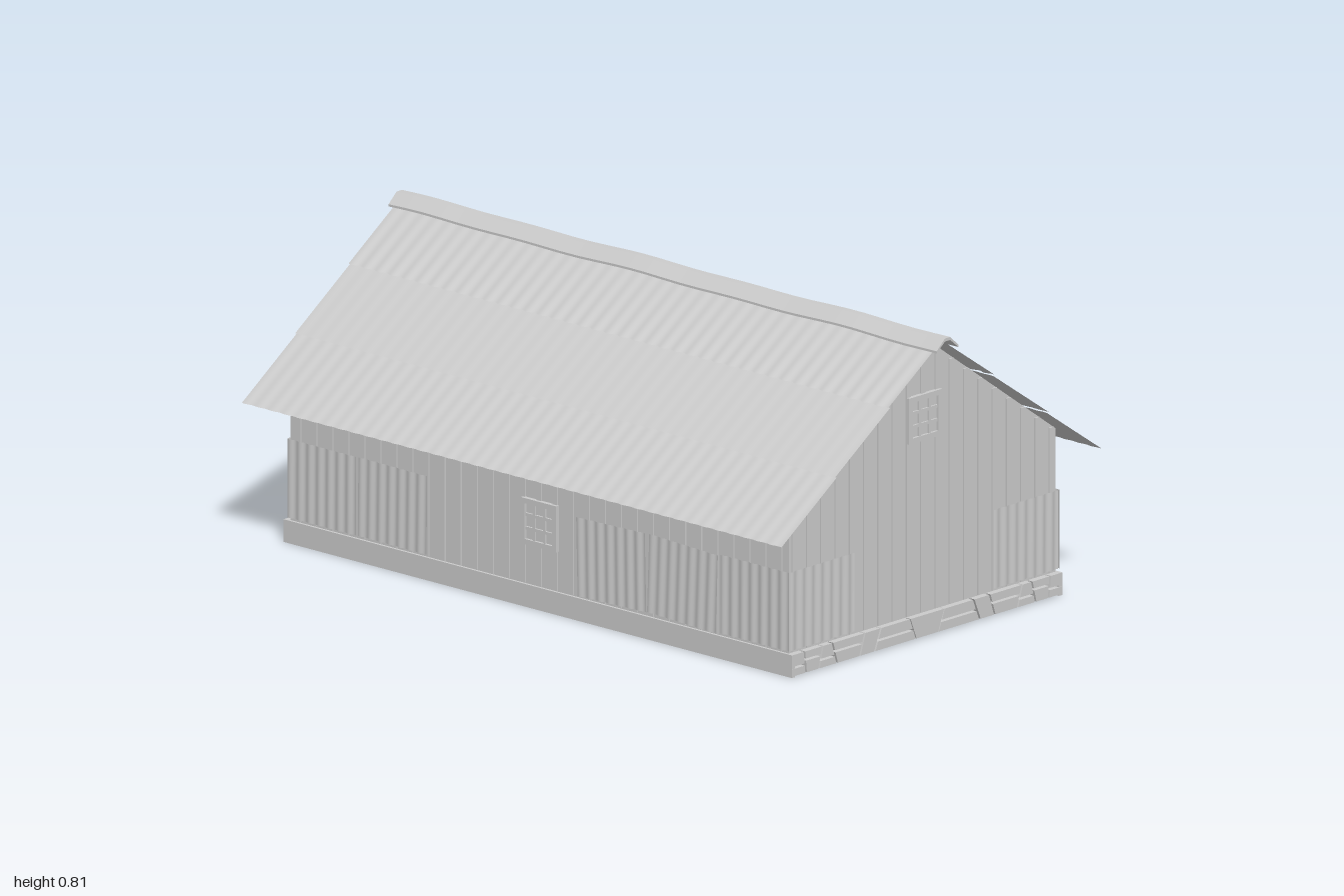
import * as THREE from 'three';

const mat = new THREE.MeshStandardMaterial({ color: 0xcccccc, side: THREE.DoubleSide });

const HALF = 0.495;            // half width of the walls
const FRONT = 0.912, BACK = -0.815, MID = (FRONT + BACK) / 2, LEN = FRONT - BACK;
const SLOPE = 0.711;           // rise of the roof per unit of width
const roofY = (x) => 0.791 - SLOPE * Math.abs(x);
const lerp = THREE.MathUtils.lerp;

function add(parent, name, geometry, x = 0, y = 0, z = 0) {
  const m = new THREE.Mesh(geometry, mat);
  m.name = name;
  m.position.set(x, y, z);
  parent.add(m);
  return m;
}

const box = (parent, name, w, h, d, x, y, z) =>
  add(parent, name, new THREE.BoxGeometry(w, h, d), x, y, z);

function group(parent, name, x, y, z, ry = 0) {
  const g = new THREE.Group();
  g.name = name;
  g.position.set(x, y, z);
  g.rotation.y = ry;
  parent.add(g);
  return g;
}

// Corrugated sheet: place(u, v, wave) turns sheet coordinates (0 to 1) into a point
function corrugated(waves, place) {
  const g = new THREE.PlaneGeometry(1, 1, waves * 8, 1);
  const p = g.attributes.position;
  for (let i = 0; i < p.count; i++) {
    const u = p.getX(i) + 0.5, v = p.getY(i) + 0.5;
    p.setXYZ(i, ...place(u, v, Math.sin(u * waves * Math.PI * 2)));
  }
  g.computeVertexNormals();
  return g;
}

function polygon(points, depth, hole) {
  const s = new THREE.Shape(points.map(([x, y]) => new THREE.Vector2(x, y)));
  if (hole) s.holes.push(new THREE.Path(hole.map(([x, y]) => new THREE.Vector2(x, y))));
  return new THREE.ExtrudeGeometry(s, { depth, bevelEnabled: false });
}

// Small barred window facing +z
function addWindow(parent, x, y) {
  const g = group(parent, 'window', x, y, 0);
  box(g, 'windowPane', 0.114, 0.114, 0.005, 0, 0, 0.0025);
  for (const s of [-1, 1]) {
    box(g, 'windowFrameSide', 0.014, 0.122, 0.012, s * 0.054, 0, 0.006);
    box(g, 'windowFrameRail', 0.122, 0.014, 0.012, 0, s * 0.054, 0.006);
    box(g, 'windowBarVertical', 0.008, 0.1, 0.01, s * 0.018, 0, 0.005);
    box(g, 'windowBarHorizontal', 0.1, 0.008, 0.01, 0, s * 0.018, 0.005);
  }
}

function addPanel(parent, x, tilt = 0) {
  const sheet = corrugated(7, (u, v, wave) => [(u - 0.5) * 0.238, (v - 0.5) * 0.208, wave * 0.002]);
  add(parent, 'corrugatedPanel', sheet, x, 0.172, 0.007).rotation.z = tilt;
}

function addBatten(parent, x, y0, y1) {
  box(parent, 'batten', 0.016, y1 - y0, 0.004, x, (y0 + y1) / 2, 0.002);
}

// Slanted joints of half a foundation end (bottom x, top x), and the height of
// the level joint in each cell between them (0 for a single stone)
const JOINTS = [[0.04, 0.062], [0.195, 0.172], [0.25, 0.232], [0.335, 0.352], [0.402, 0.388], [0.45, 0.456], [0.503, 0.503]];
const LEVELS = [0.03, 0, 0.036, 0.025, 0.038, 0.026];

function addStones(parent) {
  const y0 = 0.004, y1 = 0.06, gap = 0.003, depth = 0.018;
  const jointX = ([b, t], y) => lerp(b, t, (y - y0) / (y1 - y0));
  const c = JOINTS[0];
  add(parent, 'foundationStone', polygon([[-c[0], y0], [c[0], y0], [c[1], y1], [-c[1], y1]], depth));
  LEVELS.forEach((level, i) => {
    const rows = level ? [[y0, level - gap], [level + gap, y1]] : [[y0, y1]];
    for (const [a, b] of rows) {
      const l = JOINTS[i], r = JOINTS[i + 1];
      for (const s of [-1, 1]) {
        add(parent, 'foundationStone', polygon([
          [s * (jointX(l, a) + gap), a], [s * (jointX(r, a) - gap), a],
          [s * (jointX(r, b) - gap), b], [s * (jointX(l, b) + gap), b]], depth));
      }
    }
  });
}

// Gable end, local +z facing outward
function addGable(root, name, z, ry, hasDoor) {
  const g = group(root, name, 0, 0, z, ry);
  const outline = [[-HALF, 0.05], [HALF, 0.05], [HALF, roofY(HALF)], [0, roofY(0)], [-HALF, roofY(HALF)]];
  const hole = hasDoor && [[-0.245, 0.068], [0.245, 0.068], [0.245, 0.38], [-0.245, 0.38]];
  add(g, 'gableWall', polygon(outline, 0.01, hole), 0, 0, -0.01);
  for (let i = -9; i <= 9; i++) {
    const x = i * 0.053;
    addBatten(g, x, hasDoor && Math.abs(x) < 0.255 ? 0.4 : 0.062, roofY(Math.abs(x) + 0.008));
  }
  addWindow(g, 0, 0.58);
  for (const s of [-1, 1]) addPanel(g, s * 0.378);
  addStones(g);
  return g;
}

// Framed door leaf, hinged at local x = 0, planked below and panelled above
function addLeaf(parent, x, z, ry) {
  const W = 0.235, H = 0.3;
  const g = group(parent, 'doorLeaf', x, 0.07, z, ry);
  box(g, 'doorBacking', W - 0.01, H - 0.01, 0.004, W / 2, H / 2, 0);
  for (const px of [0.01, W - 0.01]) box(g, 'doorStile', 0.02, H, 0.016, px, H / 2, 0);
  for (const py of [0.007, 0.143, 0.163, H - 0.007]) box(g, 'doorRail', W, 0.014, 0.015, W / 2, py, 0);
  for (let i = 1; i < 6; i++) box(g, 'doorPlank', 0.03, 0.13, 0.009, i * W / 6, 0.075, 0);
}

export function createModel() {
  const root = new THREE.Group();
  root.name = 'barn';

  // Foundation skirt, open below, with a raised floor
  for (const s of [-1, 1]) {
    box(root, 'foundationSide', 0.012, 0.06, LEN + 0.034, s * 0.496, 0.03, MID);
    box(root, 'foundationEnd', 0.99, 0.06, 0.012, 0, 0.03, MID + s * (LEN / 2 - 0.005));
  }
  box(root, 'floor', 0.985, 0.01, LEN - 0.01, 0, 0.056, MID);

  // Gable ends
  addGable(root, 'frontGable', FRONT, 0, false);
  const back = addGable(root, 'backGable', BACK, Math.PI, true);

  // Doorway: lintel boards, jambs, sill and two leaves
  for (let i = 0; i < 3; i++) {
    box(back, 'lintelBoard', 0.53 - 0.02 * (i % 2), 0.019, 0.012, 0, 0.39 + i * 0.022, 0.006);
  }
  for (const s of [-1, 1]) box(back, 'doorJamb', 0.016, 0.315, 0.018, s * 0.25, 0.222, 0);
  box(back, 'doorSill', 0.5, 0.01, 0.02, 0, 0.067, 0.004);
  addLeaf(root, -0.243, BACK - 0.004, 0);
  addLeaf(root, 0.235, BACK - 0.01, Math.PI - 0.82);

  // Long side walls
  for (const s of [1, -1]) {
    const g = group(root, s > 0 ? 'leftWall' : 'rightWall', s * HALF, 0, 0, s * Math.PI / 2);
    const top = roofY(HALF);
    box(g, 'sideWall', LEN, top - 0.05, 0.01, -s * MID, (top + 0.05) / 2, -0.005);
    for (let i = 0; i < 31; i++) {
      addBatten(g, -s * (BACK + 0.03 + i * (LEN - 0.06) / 30), 0.062, top - 0.003);
    }
    addWindow(g, -s * 0.055, 0.228);
    // Sheets on the left side have slipped further than those on the right
    const slip = s > 0 ? 1 : -0.3;
    const panels = [[0.8, 0], [0.55, 0.12], [0.303, -0.08], [-0.455, 0.03], [-0.7, 0]];
    for (const [z, tilt] of panels) addPanel(g, -s * z, slip * tilt);
  }

  // Roof: three overlapping tiers of corrugated sheet on each slope
  const roof = group(root, 'roof', 0, 0, 0.045);
  for (const ry of [0, Math.PI]) {
    const slope = group(roof, 'roofSlope', 0, 0, 0, ry);
    for (let k = 0; k < 3; k++) {
      const x0 = 0.595 - 0.198 * k, x1 = k < 2 ? x0 - 0.205 : 0;
      const y0 = 0.7965 - SLOPE * x0 + 0.003, y1 = 0.7965 - SLOPE * x1 - 0.003;
      add(slope, 'roofSheet', corrugated(40, (u, v, wave) =>
        [lerp(x0, x1, v) + wave * 0.0035 * (x1 || 1 - v), lerp(y0, y1, v), (0.5 - u) * 1.87]));
    }
  }

  // Slightly sagging ridge cap
  const cap = new THREE.ExtrudeGeometry(new THREE.Shape([[-0.04, 0.772], [-0.01, 0.797], [0.01, 0.797],
    [0.04, 0.772], [0.04, 0.778], [0.01, 0.805], [-0.01, 0.805], [-0.04, 0.778],
  ].map(([x, y]) => new THREE.Vector2(x, y))), { depth: 1.9, steps: 32, bevelEnabled: false });
  const p = cap.attributes.position;
  for (let i = 0; i < p.count; i++) {
    const z = p.getZ(i);
    p.setY(i, p.getY(i) + 0.0015 * Math.sin(z * 9) + 0.0015 * Math.sin(z * 17));
  }
  cap.computeVertexNormals();
  add(root, 'ridgeCap', cap, 0, 0, -0.9);

  return root;
}
